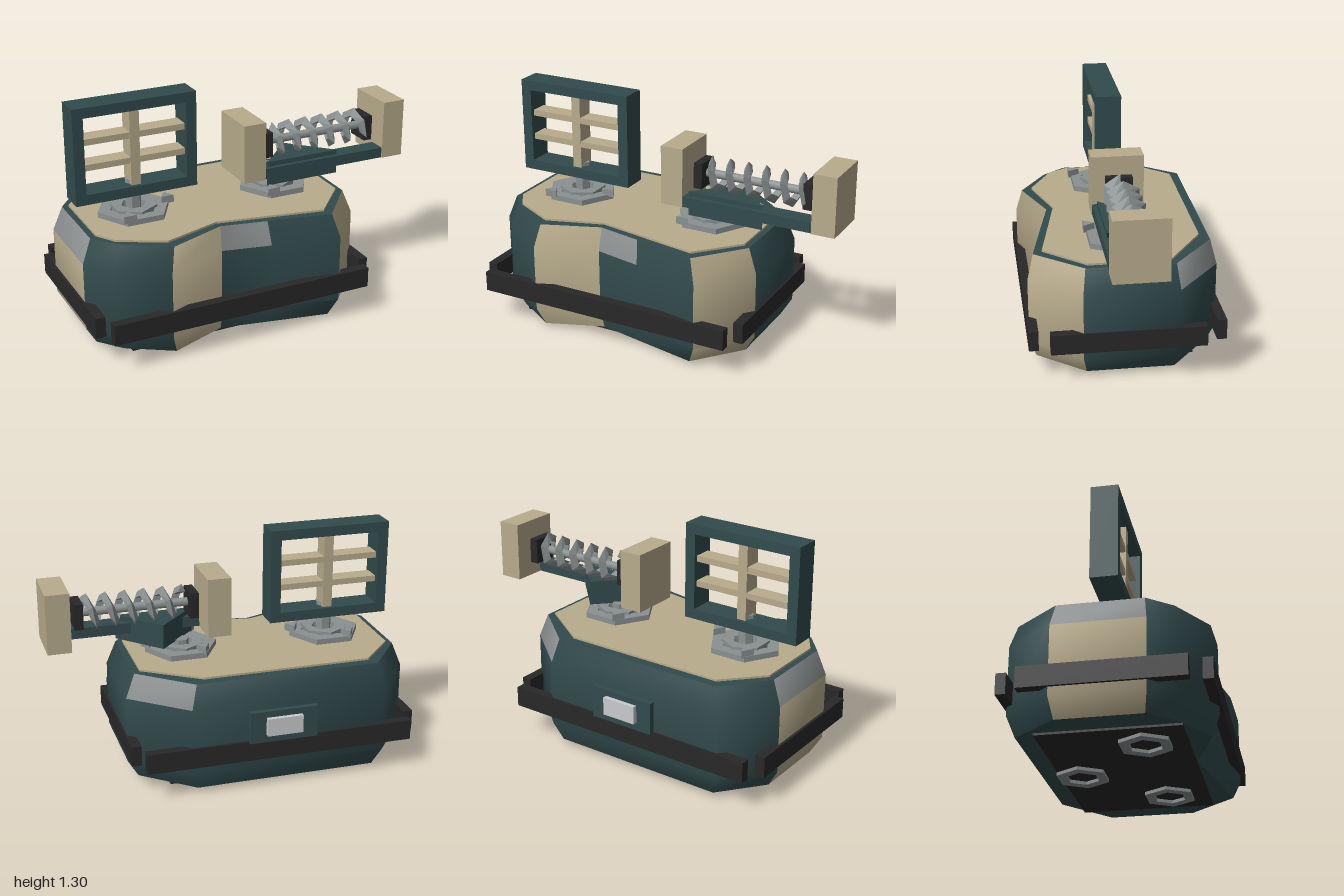
import * as THREE from 'three';
import { toCreasedNormals } from 'three/addons/utils/BufferGeometryUtils.js';

const mat = (name, color) => {
  const m = new THREE.MeshStandardMaterial({ color });
  m.name = name;
  return m;
};

export function createModel() {
  const teal = mat('dark teal', 0x324b4d);
  const tan = mat('tan', 0xb8ac8c);
  const steel = mat('steel grey', 0x8a9090);
  const pale = mat('pale grey', 0x929696);
  const light = mat('light grey', 0xc8cacb);
  const dark = mat('charcoal', 0x292828);

  const model = new THREE.Group();
  model.name = 'fieldUnit';

  const add = (parent, name, geo, material, x = 0, y = 0, z = 0) => {
    const m = new THREE.Mesh(geo, material);
    m.name = name;
    m.position.set(x, y, z);
    parent.add(m);
    return m;
  };
  // Box given by its extents on each axis
  const box = (parent, name, material, [x0, x1], [y0, y1], [z0, z1]) =>
    add(parent, name, new THREE.BoxGeometry(x1 - x0, y1 - y0, z1 - z0), material,
      (x0 + x1) / 2, (y0 + y1) / 2, (z0 + z1) / 2);
  // Vertical prism over an outline of [x, z] points (counter-clockwise from above), with optional hole
  const prism = (pts, height, hole) => {
    const v = (list) => list.map(([x, z]) => new THREE.Vector2(x, -z));
    const s = new THREE.Shape(v(pts));
    if (hole) s.holes.push(new THREE.Path(v(hole)));
    return new THREE.ExtrudeGeometry(s, { depth: height, bevelEnabled: false }).rotateX(-Math.PI / 2);
  };
  const ngon = (n, r, turn = 0) => Array.from({ length: n }, (_, i) => {
    const a = turn + (i / n) * Math.PI * 2;
    return [r * Math.cos(a), -r * Math.sin(a)];
  });
  const rect = (w, h) => [[-w, h], [w, h], [w, -h], [-w, -h]];

  // Hull: kidney-shaped outline lofted through four levels, painted face by face
  const outline = [
    [-0.985, 0.24], [-0.87, 0.38], [-0.61, 0.54], [-0.27, 0.41], [0.0, 0.465], [0.38, 0.54],
    [0.61, 0.265], [0.61, -0.25], [0.31, -0.5], [-0.78, -0.5], [-0.985, -0.24],
  ];
  const levels = [[0.03, 0.925], [0.132, 1], [0.51, 1], [0.643, 0.935]];
  const ring = (s) => outline.map(([x, z]) => [-0.19 + (x + 0.19) * s, z * s]);
  const tanSides = [2, 5, 10];
  const greyTops = [3, 7, 10];
  const hullMaterials = [teal, tan, pale];
  const coords = [];
  const paint = [];
  for (let i = 0; i < outline.length; i++) {
    const j = (i + 1) % outline.length;
    for (let k = 0; k < 3; k++) {
      const [y0, s0] = levels[k], [y1, s1] = levels[k + 1];
      const lo = ring(s0), hi = ring(s1);
      const a = [lo[i][0], y0, lo[i][1]], b = [lo[j][0], y0, lo[j][1]];
      const c = [hi[j][0], y1, hi[j][1]], d = [hi[i][0], y1, hi[i][1]];
      coords.push(...a, ...b, ...c, ...a, ...c, ...d);
      paint.push(k === 2 && greyTops.includes(i) ? 2 : tanSides.includes(i) ? 1 : 0);
    }
  }
  const shell = new THREE.BufferGeometry();
  shell.setAttribute('position', new THREE.Float32BufferAttribute(coords, 3));
  const sides = toCreasedNormals(shell, 1);
  paint.forEach((p, i) => sides.addGroup(i * 6, 6, p));
  const hull = new THREE.Group();
  hull.name = 'hull';
  model.add(hull);
  add(hull, 'hullSides', sides, hullMaterials);
  add(hull, 'hullTop', prism(ring(0.935), 0.004), teal, 0, 0.639);
  add(hull, 'hullBottom', prism(ring(0.925), 0.004), teal, 0, 0.03);
  const deckOutline = [
    [-0.9, 0.21], [-0.83, 0.32], [-0.59, 0.447], [-0.27, 0.345], [0, 0.395], [0.32, 0.455],
    [0.525, 0.23], [0.525, -0.21], [0.22, -0.415], [-0.71, -0.415], [-0.9, -0.21],
  ];
  add(hull, 'deck', prism(deckOutline, 0.011), tan, 0, 0.643);

  // Underside plate and hexagonal feet
  box(model, 'bellyPlate', dark, [-0.78, 0.4], [0.018, 0.031], [-0.36, 0.38]);
  for (const [x, z] of [[0.19, 0.165], [-0.19, -0.24], [-0.58, 0.165]]) {
    add(model, 'foot', prism(ngon(6, 0.145), 0.018, ngon(6, 0.09)), steel, x, 0, z);
  }

  // Bumper bars on all four sides
  const barY = [0.178, 0.292];
  box(model, 'frontBumper', dark, [-0.94, 0.56], barY, [0.5, 0.553]);
  box(model, 'backBumper', dark, [-0.94, 0.56], barY, [-0.515, -0.462]);
  box(model, 'rightBumper', dark, [-1.0, -0.945], barY, [-0.4, 0.44]);
  box(model, 'leftBumper', dark, [0.565, 0.62], barY, [-0.4, 0.44]);

  // Back hatch
  box(model, 'hatchFrame', teal, [-0.38, 0], [0.285, 0.465], [-0.53, -0.49]);
  box(model, 'hatchWindow', light, [-0.29, -0.09], [0.33, 0.43], [-0.555, -0.53]);

  // Rotating mounts with three triangular clamps each
  const Z = 0.02;
  for (const [x, postHeight] of [[-0.61, 0.195], [0.235, 0.06]]) {
    const mount = new THREE.Group();
    mount.name = 'mount';
    mount.position.set(x, 0.653, Z);
    model.add(mount);
    add(mount, 'mountRing', prism(ngon(6, 0.205), 0.032, ngon(6, 0.135)), steel);
    add(mount, 'mountHub', prism(ngon(6, 0.13, Math.PI / 6), 0.045, ngon(6, 0.07)), steel);
    add(mount, 'mountPost', prism(ngon(6, 0.044), postHeight), steel);
    for (const [cx, cz] of ngon(3, 0.185)) {
      add(mount, 'clamp', prism(ngon(3, 0.042, Math.PI / 2), 0.042), steel, cx, 0.025, cz + 0.013);
    }
  }

  // Panel frame with lattice
  const panel = new THREE.Group();
  panel.name = 'latticePanel';
  model.add(panel);
  const frame = prism(rect(0.345, 0.267), 0.145, rect(0.286, 0.211)).rotateX(Math.PI / 2);
  add(panel, 'panelFrame', frame, teal, -0.61, 1.038, Z - 0.0725);
  for (const y of [0.968, 1.109]) {
    box(panel, 'crossBar', tan, [-0.9, -0.32], [y - 0.017, y + 0.017], [Z - 0.05, Z + 0.05]);
  }
  box(panel, 'uprightBar', tan, [-0.637, -0.583], [0.825, 1.252], [Z - 0.052, Z + 0.052]);

  // Coil launcher: bracket, rail, end blocks, rod and coil
  const coil = new THREE.Group();
  coil.name = 'coilLauncher';
  model.add(coil);
  add(coil, 'bracket', prism([[0.14, 0.136], [0.58, 0.136], [0.36, -0.094]], 0.138), teal, 0, 0.706);
  box(coil, 'rail', teal, [0.115, 0.865], [0.757, 0.817], [0.06, 0.16]);
  for (const x of [-0.015, 0.866]) {
    box(coil, 'endBlock', tan, [x, x + 0.131], [0.755, 1.088], [Z - 0.144, Z + 0.144]);
  }
  for (const x of [0.148, 0.786]) {
    box(coil, 'rodCap', dark, [x, x + 0.049], [0.85, 0.994], [Z - 0.072, Z + 0.072]);
  }
  const axisY = 0.925;
  const rod = new THREE.CylinderGeometry(0.025, 0.025, 0.6, 8).rotateZ(Math.PI / 2);
  add(coil, 'rod', rod, steel, 0.49, axisY, Z);
  // Coil: triangular strip wound in coarse steps
  const turns = 5.33, steps = 32, pos = [];
  const section = [[0.105, 0], [0.06, 0.022], [0.06, -0.022]];
  const point = (i, [r, dx]) => {
    const a = (i / steps) * turns * Math.PI * 2;
    return [0.226 + (i / steps) * turns * 0.106 + dx, axisY + r * Math.cos(a), Z + r * Math.sin(a)];
  };
  for (let i = 0; i < steps; i++) {
    for (let k = 0; k < 3; k++) {
      const p = section[k], q = section[(k + 1) % 3];
      const a = point(i, p), b = point(i + 1, p), c = point(i + 1, q), d = point(i, q);
      pos.push(...a, ...b, ...c, ...a, ...c, ...d);
    }
  }
  const [s0, s1, s2] = section;
  pos.push(...point(0, s0), ...point(0, s1), ...point(0, s2));
  pos.push(...point(steps, s0), ...point(steps, s2), ...point(steps, s1));
  const spring = new THREE.BufferGeometry();
  spring.setAttribute('position', new THREE.Float32BufferAttribute(pos, 3));
  spring.computeVertexNormals();
  add(coil, 'coil', spring, steel);

  return model;
}
